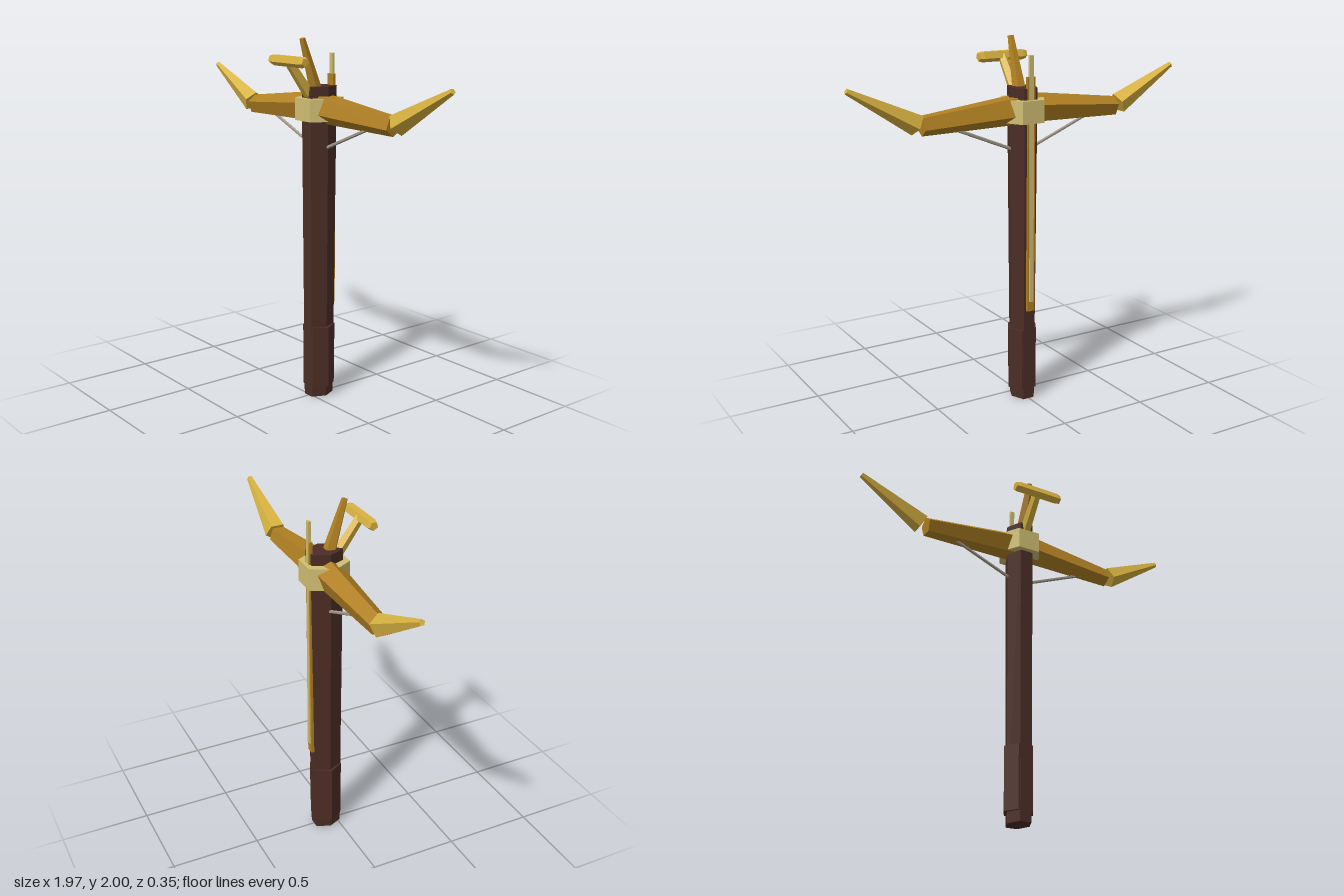
import * as THREE from 'three';

const paint = (name, color) => {
  const m = new THREE.MeshStandardMaterial({ color, flatShading: true });
  m.name = name;
  return m;
};
const V = (x, y, z) => new THREE.Vector3(x, y, z);
const CZ = -0.061; // depth of the post axis

export function createModel() {
  const brown = paint('darkBrownWood', 0x4b2d25);
  const darkGold = paint('darkGold', 0xb08022);
  const gold = paint('brightGold', 0xd8b240);
  const cream = paint('paleGold', 0xd0be72);
  const grey = paint('greyMetal', 0xa0978a);

  const root = new THREE.Group();
  root.name = 'wingedPost';
  const add = (name, geo, mat) => {
    const m = new THREE.Mesh(geo, mat);
    m.name = name;
    root.add(m);
    return m;
  };

  // Lay a y-axis geometry between two points, with its first corner towards "up"
  const align = (geo, a, b, up) => {
    const y = b.clone().sub(a).normalize();
    const x = y.clone().cross(up).normalize();
    const z = x.clone().cross(y);
    const mid = a.clone().add(b).multiplyScalar(0.5);
    return geo.applyMatrix4(new THREE.Matrix4().makeBasis(x, y, z).setPosition(mid));
  };
  const beam = (name, a, b, ra, rb, sides, up, mat) =>
    add(name, align(new THREE.CylinderGeometry(rb, ra, a.distanceTo(b), sides), a, b, up), mat);

  // Upright six-sided prism: corners on the x axis, flats at front and back
  const hex = (name, y0, y1, bottom, top, mat) => {
    const geo = new THREE.CylinderGeometry(1, 1, y1 - y0, 6);
    geo.rotateY(Math.PI / 6 * 3);
    const p = geo.attributes.position;
    for (let i = 0; i < p.count; i++) {
      const [rx, rz] = p.getY(i) > 0 ? top : bottom;
      p.setX(i, p.getX(i) * rx);
      p.setZ(i, p.getZ(i) / Math.sin(Math.PI / 3) * rz);
    }
    geo.translate(0, (y0 + y1) / 2, CZ);
    return add(name, geo, mat);
  };

  // Post, foot sleeve and collar
  hex('post', 0, 1.74, [0.066, 0.075], [0.078, 0.088], brown);
  hex('footSleeve', 0.06, 0.41, [0.087, 0.0745], [0.087, 0.0775], brown);
  hex('collar', 1.56, 1.68, [0.13, 0.115], [0.13, 0.115], cream);

  // Wings: the five-sided section points up on the right and down on the left
  for (const s of [-1, 1]) {
    const side = s > 0 ? 'left' : 'right';
    const up = V(0, -s, 0);
    beam(side + 'WingArm', V(0, 1.627, CZ), V(s * 0.59, 1.588, CZ), 0.086, 0.054, 5, up, darkGold);
    beam(side + 'WingTip', V(s * 0.615, 1.6, CZ - 0.003), V(s * 0.98, 1.792, CZ - 0.003), 0.061, 0.016, 5, up, gold);
    beam(side + 'Strut', V(s * 0.06, 1.413, CZ), V(s * 0.4, 1.552, CZ), 0.009, 0.009, 6, V(0, 1, 0), grey);
  }

  // Neck and crossbar at the front
  beam('neck', V(0, 1.69, 0.0), V(0, 1.88, 0.142), 0.032, 0.026, 5, V(0, 1, 0), gold);
  const bar = [[0, -0.145], [0.024, -0.145], [0.031, -0.12], [0.031, 0.12], [0.024, 0.145], [0, 0.145]];
  const barGeo = new THREE.LatheGeometry(bar.map(([r, y]) => new THREE.Vector2(r, y)), 5);
  add('crossbar', align(barGeo, V(-0.145, 1.881, 0.145), V(0.145, 1.881, 0.145), V(0, -1, 0)), gold);

  // Horn leaning forward from the post top
  beam('horn', V(0, 1.68, -0.045), V(0, 1.993, 0.055), 0.04, 0.017, 5, V(0, 0, 1), darkGold);

  // Long strip with its backing on the rear face
  const strip = (name, y0, y1, z0, z1, w, t, mat) => {
    const a = V(0, y0, z0), b = V(0, y1, z1);
    add(name, align(new THREE.BoxGeometry(w, a.distanceTo(b), t), a, b, V(0, 0, 1)), mat);
  };
  strip('stripBacking', 0.525, 1.8, -0.147, -0.145, 0.046, 0.018, darkGold);
  strip('rearStrip', 0.58, 1.91, -0.156, -0.147, 0.024, 0.016, cream);

  return root;
}
